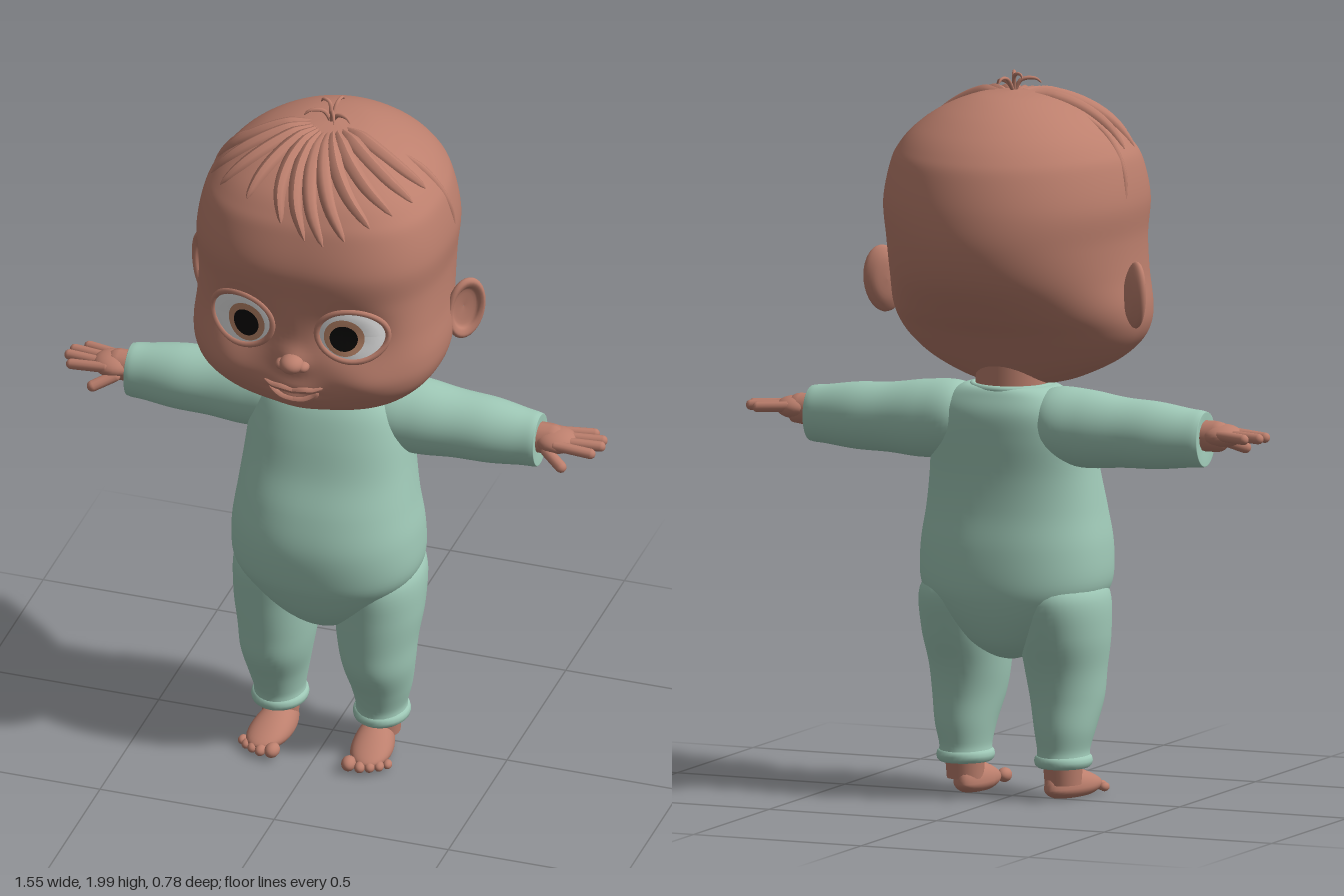
import * as THREE from 'three';

const mat = (name, color, side = THREE.FrontSide) => {
  const m = new THREE.MeshStandardMaterial({ color, side });
  m.name = name;
  return m;
};
const V = (x, y, z) => new THREE.Vector3(x, y, z);

// Smooth skin through sections [y, centreX, halfWidth, zFront, zBack, zCentre];
// nf and nb set how square the front and back halves are.
function loft(sections, { around = 40, steps = 6, nf = 2, nb = 2 } = {}) {
  const pos = [], idx = [], last = sections.length - 1, rows = last * steps;
  const at = (t, k) => {
    const i = Math.min(Math.floor(t), last - 1), f = t - i;
    const p = (j) => sections[Math.min(Math.max(j, 0), last)][k];
    const a = p(i - 1), b = p(i), c = p(i + 1), d = p(i + 2);
    return b + 0.5 * f * (c - a + f * (2 * a - 5 * b + 4 * c - d + f * (3 * (b - c) + d - a)));
  };
  for (let i = 0; i <= rows; i++) {
    const [y, cx, w, zf, zb, zc] = [0, 1, 2, 3, 4, 5].map((k) => at(i / steps, k));
    for (let j = 0; j < around; j++) {
      const a = (j / around) * Math.PI * 2, c = Math.cos(a), s = Math.sin(a), n = s > 0 ? nf : nb;
      const r = (Math.abs(c) ** n + Math.abs(s) ** n) ** (-1 / n);
      pos.push(cx + Math.max(w, 0) * r * c, y, zc + (s > 0 ? zf - zc : zc - zb) * r * s);
      if (i < rows) {
        const k = (j + 1) % around, p = i * around, q = p + around;
        idx.push(p + j, q + j, q + k, p + j, q + k, p + k);
      }
    }
  }
  const g = new THREE.BufferGeometry();
  g.setAttribute('position', new THREE.Float32BufferAttribute(pos, 3));
  g.setIndex(idx);
  g.computeVertexNormals();
  return g;
}

// Tube that thins towards its ends
function strand(points, r, startThickness = 0.3) {
  const curve = new THREE.CatmullRomCurve3(points), n = 18, radial = 8;
  const g = new THREE.TubeGeometry(curve, n, r, radial), p = g.attributes.position, v = V(0, 0, 0);
  for (let i = 0; i <= n; i++) {
    const t = i / n, c = curve.getPointAt(t);
    const k = Math.max(0.04, Math.min(1, startThickness + t * 3) * Math.sqrt(1 - t ** 3));
    for (let j = 0; j <= radial; j++) {
      const q = i * (radial + 1) + j;
      v.fromBufferAttribute(p, q).sub(c).multiplyScalar(k).add(c);
      p.setXYZ(q, v.x, v.y, v.z);
    }
  }
  g.computeVertexNormals();
  return g;
}

// Rounded rod between two points
function rod(a, b, r) {
  const d = b.clone().sub(a), g = new THREE.CapsuleGeometry(r, d.length(), 5, 12);
  g.applyQuaternion(new THREE.Quaternion().setFromUnitVectors(V(0, 1, 0), d.clone().normalize()));
  return g.translate((a.x + b.x) / 2, (a.y + b.y) / 2, (a.z + b.z) / 2);
}

const ball = (x, y, z, rx, ry, rz) => new THREE.SphereGeometry(1, 24, 16).scale(rx, ry, rz).translate(x, y, z);

function mirrored(geo) {
  const g = geo.clone().scale(-1, 1, 1), ix = g.index.array;
  for (let i = 0; i < ix.length; i += 3) [ix[i], ix[i + 1]] = [ix[i + 1], ix[i]];
  return g;
}

export function createModel() {
  const model = new THREE.Group();
  model.name = 'baby';
  const skin = mat('skin', 0xbc7f6d), suit = mat('suit green', 0xa0cab8);
  const white = mat('eye white', 0xe8e8e8), brown = mat('iris brown', 0xc08a6c), black = mat('pupil black', 0x0a0807);
  const add = (name, geo, m) => {
    const mesh = new THREE.Mesh(geo, m);
    mesh.name = name;
    model.add(mesh);
    return mesh;
  };
  const pair = (name, geo, m) => {
    add(name + 'Left', geo, m);
    add(name + 'Right', mirrored(geo), m);
  };

  // Head: skull loft, then soft bumps and hollows on the face
  const headGeo = loft([
    [1.13, 0, 0, 0.09, 0.07, 0.08], [1.137, 0, 0.08, 0.15, 0, 0.08], [1.155, 0, 0.16, 0.21, -0.05, 0.08],
    [1.2, 0, 0.255, 0.28, -0.1, 0.08], [1.25, 0, 0.315, 0.315, -0.15, 0.08], [1.3, 0, 0.345, 0.33, -0.2, 0.07],
    [1.36, 0, 0.353, 0.335, -0.27, 0.06], [1.45, 0, 0.344, 0.335, -0.35, 0.05], [1.55, 0, 0.342, 0.34, -0.385, 0.03],
    [1.65, 0, 0.35, 0.35, -0.383, 0.02], [1.75, 0, 0.333, 0.325, -0.355, 0.02], [1.8, 0, 0.308, 0.3, -0.325, 0.01],
    [1.85, 0, 0.262, 0.26, -0.275, 0], [1.9, 0, 0.19, 0.19, -0.2, 0], [1.935, 0, 0.1, 0.1, -0.11, 0], [1.948, 0, 0, 0, 0, 0],
  ], { around: 144, steps: 7, nf: 2.7 });
  const bumps = [ // x, y, spread x, spread y, height
    [0.155, 1.46, 0.085, 0.07, -0.034], [0.2, 1.31, 0.09, 0.06, 0.018], [0, 1.37, 0.04, 0.035, 0.02],
    [0, 1.265, 0.085, 0.05, 0.022], [0, 1.19, 0.07, 0.03, 0.014], [0, 1.268, 0.06, 0.011, -0.014],
  ];
  const hp = headGeo.attributes.position;
  for (let i = 0; i < hp.count; i++) {
    const x = Math.abs(hp.getX(i)), y = hp.getY(i), z = hp.getZ(i);
    const front = THREE.MathUtils.smoothstep(z, 0.08, 0.24);
    const d = bumps.reduce((s, [bx, by, sx, sy, h]) => s + h * Math.exp(-(((x - bx) / sx) ** 2) - ((y - by) / sy) ** 2), 0);
    hp.setZ(i, z + d * front);
  }
  headGeo.computeVertexNormals();
  const head = add('head', headGeo, skin);
  const ray = new THREE.Raycaster();
  const hit = (from, dir) => {
    ray.set(from, dir.normalize());
    return ray.intersectObject(head)[0]?.point ?? from.clone();
  };
  const face = (x, y, out = 0) => hit(V(x, y, 1), V(0, 0, -1)).add(V(0, 0, out));

  // Eyes: bulging discs that follow the sockets
  const eye = { x: 0.157, y: 1.462, rx: 0.091, ry: 0.076 };
  const eyeDisc = (cx, cy, rx, ry, lift) => {
    const g = new THREE.RingGeometry(0.001, 1, 32, 6), p = g.attributes.position;
    for (let i = 0; i < p.count; i++) {
      const x = cx + p.getX(i) * rx, y = cy + p.getY(i) * ry;
      const r2 = ((x - eye.x) / eye.rx) ** 2 + ((y - eye.y) / eye.ry) ** 2;
      p.setXYZ(i, x, y, face(x, y).z + 0.003 + 0.022 * (1 - r2) + lift);
    }
    g.computeVertexNormals();
    return g;
  };
  pair('eyeWhite', eyeDisc(eye.x, eye.y, eye.rx, eye.ry, 0), white);
  pair('iris', eyeDisc(0.14, 1.458, 0.055, 0.058, 0.003), brown);
  pair('pupil', eyeDisc(0.14, 1.457, 0.038, 0.04, 0.006), black);
  const lid = Array.from({ length: 20 }, (_, i) => {
    const a = (i / 20) * Math.PI * 2;
    return face(eye.x + 0.094 * Math.cos(a), eye.y + 0.079 * Math.sin(a));
  });
  pair('eyelid', new THREE.TubeGeometry(new THREE.CatmullRomCurve3(lid, true), 48, 0.009, 8, true), skin);

  // Nose and mouth
  add('nose', ball(0, 1.367, 0.35, 0.034, 0.027, 0.038), skin);
  pair('nostril', ball(0.03, 1.36, 0.345, 0.018, 0.016, 0.022), skin);
  pair('upperLip', strand([0, 0.03, 0.06, 0.085].map((x, i) => face(x, [1.277, 1.283, 1.285, 1.296][i], -0.001)), 0.011, 1), skin);
  pair('lowerLip', strand([0, 0.03, 0.055, 0.072].map((x, i) => face(x, [1.243, 1.247, 1.26, 1.278][i], -0.001)), 0.012, 1), skin);

  // Ears: cupped dishes turned outward
  const cup = [[0.0005, -0.022], [0.03, -0.018], [0.049, -0.004], [0.053, 0.008], [0.047, 0.016], [0.038, 0.011], [0.03, 0], [0.0005, -0.006]];
  const ear = new THREE.LatheGeometry(new THREE.SplineCurve(cup.map(([r, y]) => new THREE.Vector2(r, y))).getPoints(28), 32)
    .rotateX(Math.PI / 2).scale(1.1, 1.75, 1).rotateZ(-0.12).rotateY(Math.PI / 4).translate(0.372, 1.408, -0.02);
  pair('ear', ear, skin);

  // Hair: locks combed from the crown, laid on the skull
  const onSkull = (az, el, out) => {
    const a = THREE.MathUtils.degToRad(az), e = THREE.MathUtils.degToRad(el);
    const d = V(Math.sin(a) * Math.cos(e), Math.sin(e), Math.cos(a) * Math.cos(e));
    const c = V(0, 1.55, 0);
    return hit(c.clone().addScaledVector(d, 1), d.clone().negate()).addScaledVector(d, out);
  };
  const lock = (az0, az1, el, r) => strand([0, 0.25, 0.5, 0.75, 1].map((t) =>
    onSkull(az0 + (az1 - az0) * t * t, 84 + (el - 84) * t, -r * 0.45 + 0.012 * t)), r);
  [[-72, -80, 38], [-58, -66, 36], [-44, -50, 38], [-32, -30, 40], [-22, -8, 36], [-12, 5, 31], [-2, 14, 29],
    [8, 24, 31], [18, 36, 35], [30, 48, 38], [46, 62, 40], [62, 76, 42]].forEach(([a, b, el], i) =>
    add('hairLock' + (i + 1), lock(a, b, el, 0.024), skin));
  pair('sideHair', strand([60, 45, 30, 15].map((el, i) => onSkull(84 + i * 3, el, -0.004)), 0.012), skin);
  [[-0.07, 0.03, 0.04], [0.06, 0.02, 0.03], [-0.04, 0.045, -0.02], [0.03, 0.04, 0.08], [0.01, 0.035, -0.07]].forEach(([x, h, z], i) =>
    add('topCurl' + (i + 1), strand([V(0, 1.94, 0.01), V(x * 0.3, 1.945 + h, z * 0.4), V(x * 0.8, 1.948 + h, z * 0.8), V(x, 1.935 + h, z)], 0.006, 1), skin));

  // Neck and romper body
  add('neck', new THREE.CylinderGeometry(0.1, 0.1, 0.17, 32, 1, true).translate(0, 1.17, 0), skin);
  add('torso', loft([
    [0.38, 0, 0, 0.05, 0.01, 0.03], [0.395, 0, 0.05, 0.1, -0.06, 0.03], [0.43, 0, 0.11, 0.15, -0.115, 0.03],
    [0.48, 0, 0.17, 0.195, -0.15, 0.03], [0.54, 0, 0.228, 0.228, -0.175, 0.03], [0.6, 0, 0.262, 0.248, -0.185, 0.03],
    [0.7, 0, 0.264, 0.253, -0.176, 0.03], [0.8, 0, 0.25, 0.228, -0.157, 0.03], [0.9, 0, 0.238, 0.188, -0.148, 0.02],
    [1, 0, 0.228, 0.16, -0.15, 0], [1.07, 0, 0.21, 0.135, -0.147, -0.01], [1.115, 0, 0.175, 0.11, -0.13, -0.01],
    [1.14, 0, 0.13, 0.095, -0.112, -0.01], [1.143, 0, 0.09, 0.07, -0.08, -0.01],
  ], { around: 56, nf: 2.3, nb: 2.3 }), suit);
  add('collar', new THREE.TorusGeometry(0.106, 0.011, 10, 40).rotateX(Math.PI / 2).translate(0, 1.136, -0.003), suit);

  // Sleeves run along x, so the loft is laid on its side
  pair('sleeve', loft([
    [0.06, -1.05, 0.05, 0.02, -0.08, -0.03], [0.14, -1.042, 0.1, 0.075, -0.13, -0.03], [0.24, -1.034, 0.107, 0.075, -0.13, -0.03],
    [0.35, -1.03, 0.096, 0.065, -0.12, -0.03], [0.45, -1.028, 0.092, 0.06, -0.114, -0.028], [0.54, -1.026, 0.081, 0.047, -0.098, -0.025],
    [0.582, -1.025, 0.077, 0.042, -0.088, -0.023], [0.588, -1.025, 0.066, 0.032, -0.077, -0.023], [0.582, -1.025, 0, -0.023, -0.023, -0.023],
  ]).rotateZ(-Math.PI / 2).scale(1, 1, 1), suit);

  // Hands: palm, four fingers and thumb
  pair('wrist', rod(V(0.56, 1.035, -0.022), V(0.62, 1.035, -0.022), 0.043), skin);
  pair('palm', ball(0.635, 1.038, -0.018, 0.058, 0.032, 0.056), skin);
  [[-0.058, 0.725, -0.078], [-0.03, 0.757, -0.05], [-0.002, 0.762, -0.018], [0.022, 0.745, 0.018]].forEach(([z0, x1, z1], i) =>
    pair('finger' + (i + 1), rod(V(0.645, 1.043, z0), V(x1, 1.04 - (i === 3 ? 0.006 : 0), z1), 0.0145), skin));
  pair('thumb', rod(V(0.62, 1.02, 0.02), V(0.672, 0.998, 0.053), 0.016), skin);

  // Trouser legs with cuffs
  pair('leg', loft([
    [0.64, 0.13, 0.09, 0.13, -0.1, 0.02], [0.57, 0.143, 0.122, 0.175, -0.148, 0.02], [0.46, 0.145, 0.122, 0.172, -0.125, 0.03],
    [0.36, 0.143, 0.11, 0.165, -0.088, 0.04], [0.28, 0.146, 0.099, 0.157, -0.073, 0.04], [0.2, 0.148, 0.083, 0.122, -0.072, 0.02],
    [0.14, 0.146, 0.07, 0.1, -0.066, 0.015], [0.095, 0.146, 0.067, 0.092, -0.064, 0.015], [0.088, 0.146, 0, 0.015, 0.015, 0.015],
  ].reverse()), suit);
  pair('cuff', new THREE.TorusGeometry(0.066, 0.014, 10, 32).rotateX(Math.PI / 2).scale(0.98, 1.3, 1.12).translate(0.146, 0.11, 0.015), suit);

  // Feet: flat sole, sloping instep, five toes
  const foot = new THREE.SphereGeometry(1, 32, 24), fp = foot.attributes.position;
  for (let i = 0; i < fp.count; i++) {
    const x = fp.getX(i), y = fp.getY(i), z = fp.getZ(i);
    fp.setXYZ(i, x * (0.057 + 0.01 * z), y > 0 ? 0.032 + y * (0.052 - 0.026 * z) : 0.032 + Math.max(y, -0.75) * 0.036, z * 0.12);
  }
  foot.computeVertexNormals();
  const turn = (g) => g.rotateY(0.12).translate(0.143, 0, 0.075);
  pair('foot', turn(foot), skin);
  pair('ankle', new THREE.CylinderGeometry(0.055, 0.05, 0.06, 28).translate(0.146, 0.075, 0.012), skin);
  [[-0.047, 0.112, 0.02], [-0.015, 0.118, 0.015], [0.011, 0.111, 0.0145], [0.035, 0.1, 0.0135], [0.055, 0.083, 0.0125]].forEach(([x, z, r], i) =>
    pair('toe' + (i + 1), turn(ball(x, r + 0.009, z, r, r, r * 1.35)), skin));

  return model;
}
